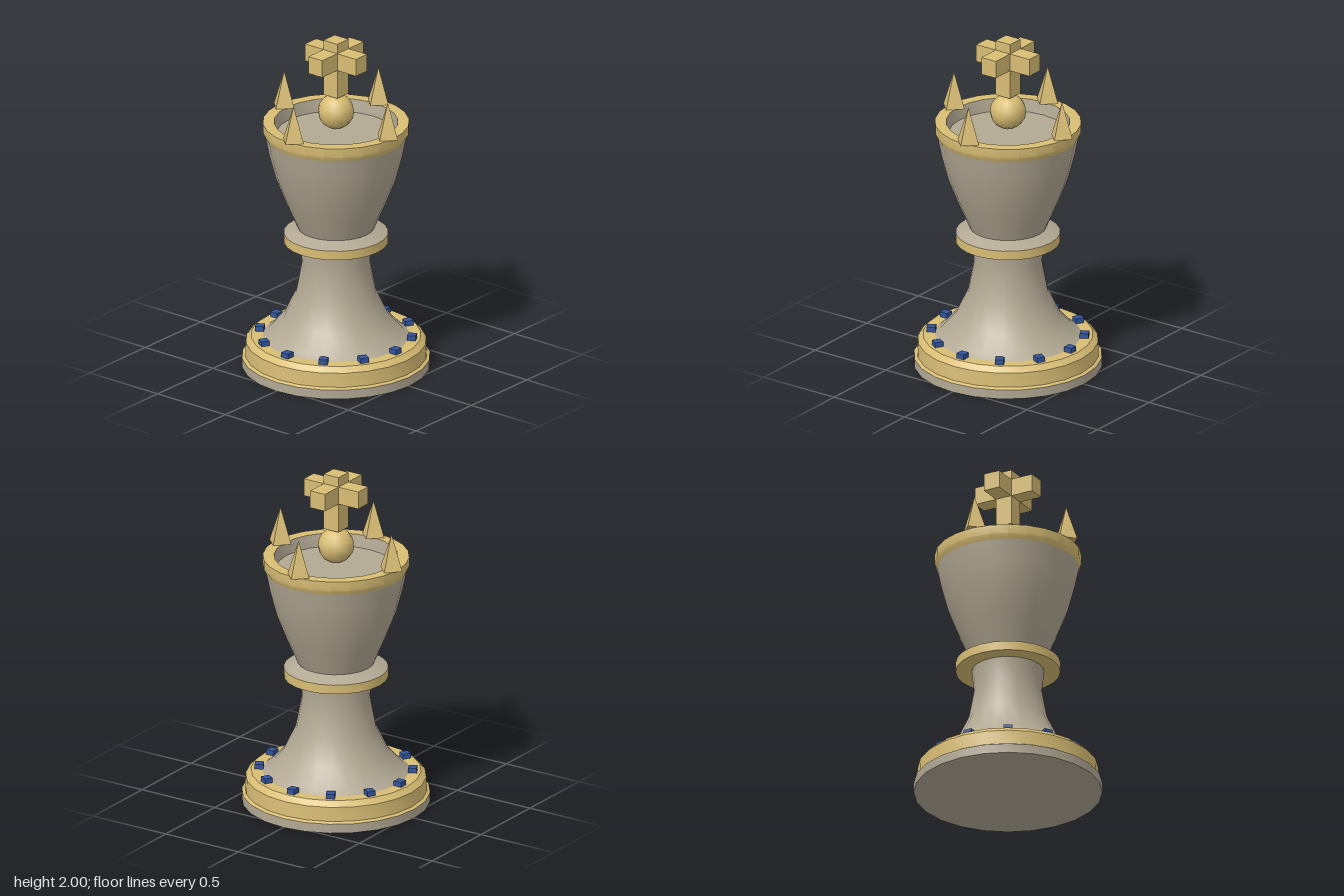
import * as THREE from 'three';
import { toCreasedNormals } from 'three/addons/utils/BufferGeometryUtils.js';

export function createModel() {
  const model = new THREE.Group();
  model.name = 'chessKing';

  const material = (name, color, extra = {}) => {
    const m = new THREE.MeshStandardMaterial({ color, ...extra });
    m.name = name;
    return m;
  };
  const stone = material('stone', 0xb3a994);
  const gold = material('gold', 0xd8bd74);
  const blue = material('blue', 0x34559c);

  const add = (name, geometry, mat, x = 0, y = 0, z = 0) => {
    const mesh = new THREE.Mesh(geometry, mat);
    mesh.name = name;
    mesh.position.set(x, y, z);
    model.add(mesh);
    return mesh;
  };

  // Turned parts: profile of [radius, height], running up the outside
  const turned = (name, profile, mat) => {
    const points = profile.map(([r, y]) => new THREE.Vector2(r, y));
    return add(name, toCreasedNormals(new THREE.LatheGeometry(points, 24), 0.5), mat);
  };

  // Base and stem
  turned('foot', [[0, 0], [0.54, 0], [0.54, 0.055]], stone);
  turned('baseBand', [[0.54, 0.055], [0.522, 0.065], [0.518, 0.15], [0.487, 0.18], [0.41, 0.18]], gold);
  turned('stem', [[0.42, 0.18], [0.39, 0.2], [0.3, 0.3], [0.23, 0.45], [0.195, 0.64], [0.207, 0.76]], stone);

  // Collar
  turned('collarBand', [[0.2, 0.76], [0.3, 0.76], [0.3, 0.815]], gold);
  turned('collarTop', [[0.3, 0.815], [0.22, 0.848]], stone);

  // Cup, rim and recessed floor
  turned('cup', [[0.22, 0.848], [0.285, 1.0], [0.345, 1.155], [0.383, 1.3], [0.405, 1.41]], stone);
  turned('rim', [[0.405, 1.41], [0.42, 1.44], [0.42, 1.495], [0.355, 1.495]], gold);
  turned('cupInside', [[0.355, 1.495], [0.342, 1.42], [0, 1.42]], stone);

  // Blue studs around the base
  const studGeometry = new THREE.BoxGeometry(0.05, 0.035, 0.05);
  for (let i = 0; i < 12; i++) {
    const a = (i * Math.PI) / 6;
    const stud = add('stud', studGeometry, blue, Math.sin(a) * 0.44, 0.1925, Math.cos(a) * 0.44);
    stud.rotation.y = a;
  }

  // Four crown spikes
  const spikeGeometry = new THREE.ConeGeometry(0.075, 0.215, 4).toNonIndexed();
  spikeGeometry.computeVertexNormals();
  for (let i = 0; i < 4; i++) {
    const a = (i * Math.PI) / 2;
    add('crownSpike', spikeGeometry, gold, Math.sin(a) * 0.383, 1.6025, Math.cos(a) * 0.383);
  }

  // Ball and three-way cross
  add('ball', new THREE.SphereGeometry(0.105, 12, 8), gold, 0, 1.56, 0);
  add('crossPost', new THREE.BoxGeometry(0.102, 0.335, 0.102), gold, 0, 1.8325, 0);
  const armGeometry = new THREE.BoxGeometry(0.137, 0.104, 0.102);
  for (let i = 0; i < 4; i++) {
    const a = (i * Math.PI) / 2;
    const arm = add('crossArm', armGeometry, gold, Math.cos(a) * 0.1195, 1.89, -Math.sin(a) * 0.1195);
    arm.rotation.y = a;
  }

  return model;
}
